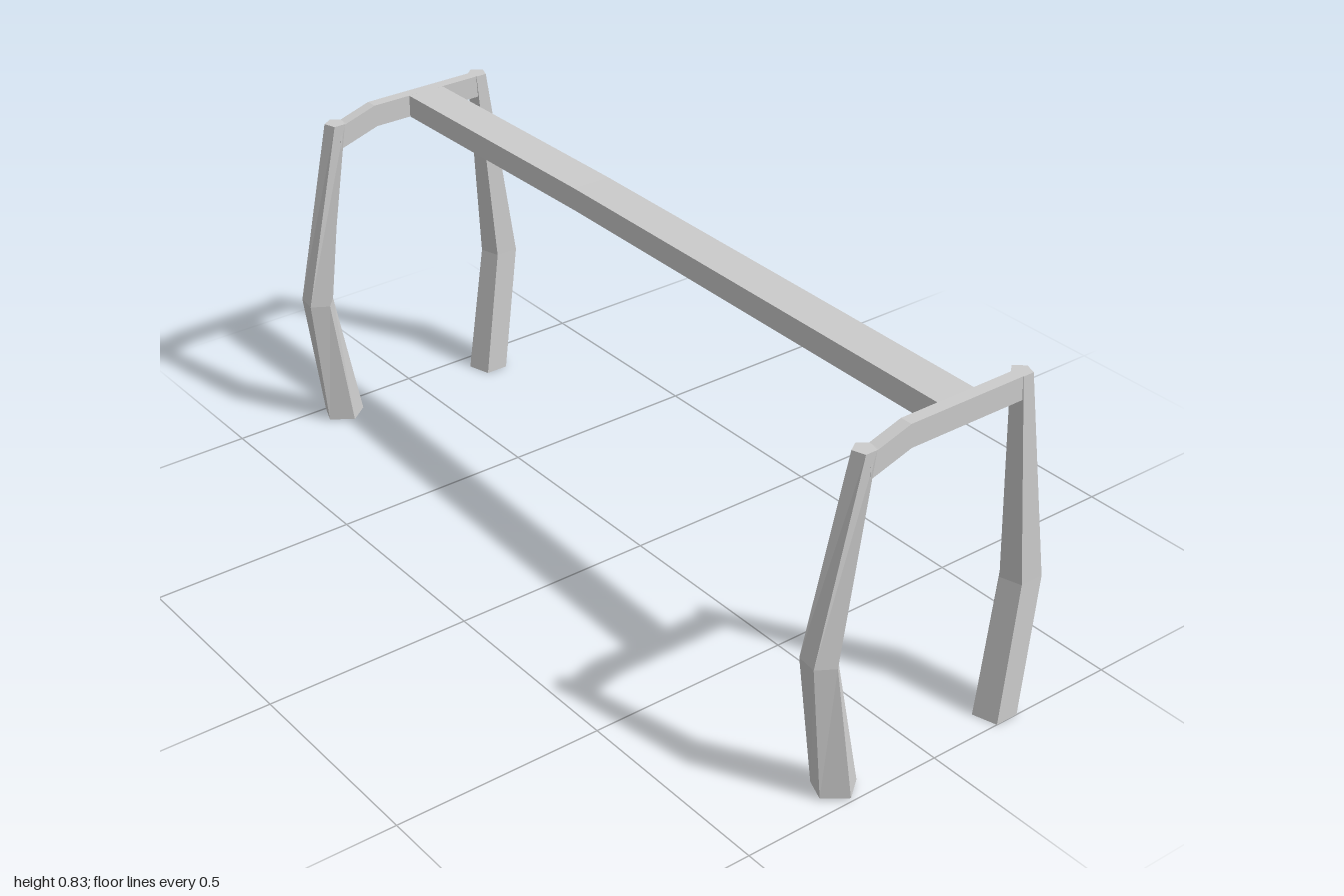
import * as THREE from 'three';

const material = new THREE.MeshStandardMaterial({ color: 0xcccccc, flatShading: true });

// Skins a run of equal-sized rings and caps both ends.
// Each ring runs counter-clockwise when seen from the far end of the run.
function loft(name, rings) {
  const n = rings[0].length;
  const index = [];
  for (let r = 0; r < rings.length - 1; r++) {
    for (let i = 0; i < n; i++) {
      const j = (i + 1) % n;
      const a = r * n + i, b = r * n + j;
      index.push(a, b, b + n, a, b + n, a + n);
    }
  }
  const last = (rings.length - 1) * n;
  for (let i = 1; i < n - 1; i++) {
    index.push(0, i + 1, i, last, last + i, last + i + 1);
  }
  const indexed = new THREE.BufferGeometry();
  indexed.setAttribute('position', new THREE.Float32BufferAttribute(rings.flat(2), 3));
  indexed.setIndex(index);
  const geometry = indexed.toNonIndexed();
  geometry.computeVertexNormals();
  const mesh = new THREE.Mesh(geometry, material);
  mesh.name = name;
  return mesh;
}

// Level five-sided leg section at height y, from [x, z] corners
const section = (y, corners) => corners.map(([x, z]) => [x, y, z]);

function createFrame(name) {
  const frame = new THREE.Group();
  frame.name = name;

  // Left leg: flat side to the front, ridge to the back
  frame.add(loft('leftLeg', [
    section(0, [[0.182, 1.0], [0.24, 1.0], [0.258, 0.942], [0.211, 0.905], [0.165, 0.942]]),
    section(0.327, [[0.235, 0.985], [0.293, 0.985], [0.308, 0.935], [0.264, 0.897], [0.22, 0.935]]),
    section(0.83, [[0.198, 0.972], [0.226, 0.972], [0.236, 0.945], [0.212, 0.925], [0.189, 0.945]]),
  ]));

  // Right leg: slightly twisted, ridge to the front at the foot
  frame.add(loft('rightLeg', [
    section(0.004, [[-0.278, 0.957], [-0.227, 0.995], [-0.178, 0.957], [-0.2, 0.907], [-0.258, 0.905]]),
    section(0.337, [[-0.308, 0.955], [-0.267, 0.98], [-0.237, 0.945], [-0.255, 0.9], [-0.302, 0.905]]),
    section(0.805, [[-0.215, 0.972], [-0.186, 0.972], [-0.178, 0.945], [-0.2, 0.926], [-0.225, 0.942]]),
  ]));

  // Cross bar dipping towards the right leg: [x top, top, x bottom, bottom]
  const bar = [
    [-0.2, 0.8, -0.2, 0.743],
    [-0.18, 0.805, -0.182, 0.748],
    [-0.1, 0.83, -0.095, 0.775],
    [0.21, 0.83, 0.21, 0.775],
  ];
  frame.add(loft('crossBar', bar.map(([xt, top, xb, low]) => [
    [xb, low, 0.971], [xb, low, 0.942], [xt, top, 0.942], [xt, top, 0.971],
  ])));
  return frame;
}

export function createModel() {
  const model = new THREE.Group();
  model.name = 'trestle';

  // Two matching end frames
  const front = createFrame('frontFrame');
  const back = createFrame('backFrame');
  back.position.z = -1.897;
  model.add(front, back);

  // Long beam with a slight bend: [z, right edge x, bottom, top]
  const beam = [
    [0.945, -0.005, 0.775, 0.83],
    [-0.28, 0.025, 0.761, 0.816],
    [-0.93, 0.0, 0.775, 0.83],
  ];
  model.add(loft('ridgeBeam', beam.map(([z, x, low, top]) => [
    [x + 0.097, low, z], [x, low, z], [x, top, z], [x + 0.097, top, z],
  ])));
  return model;
}
